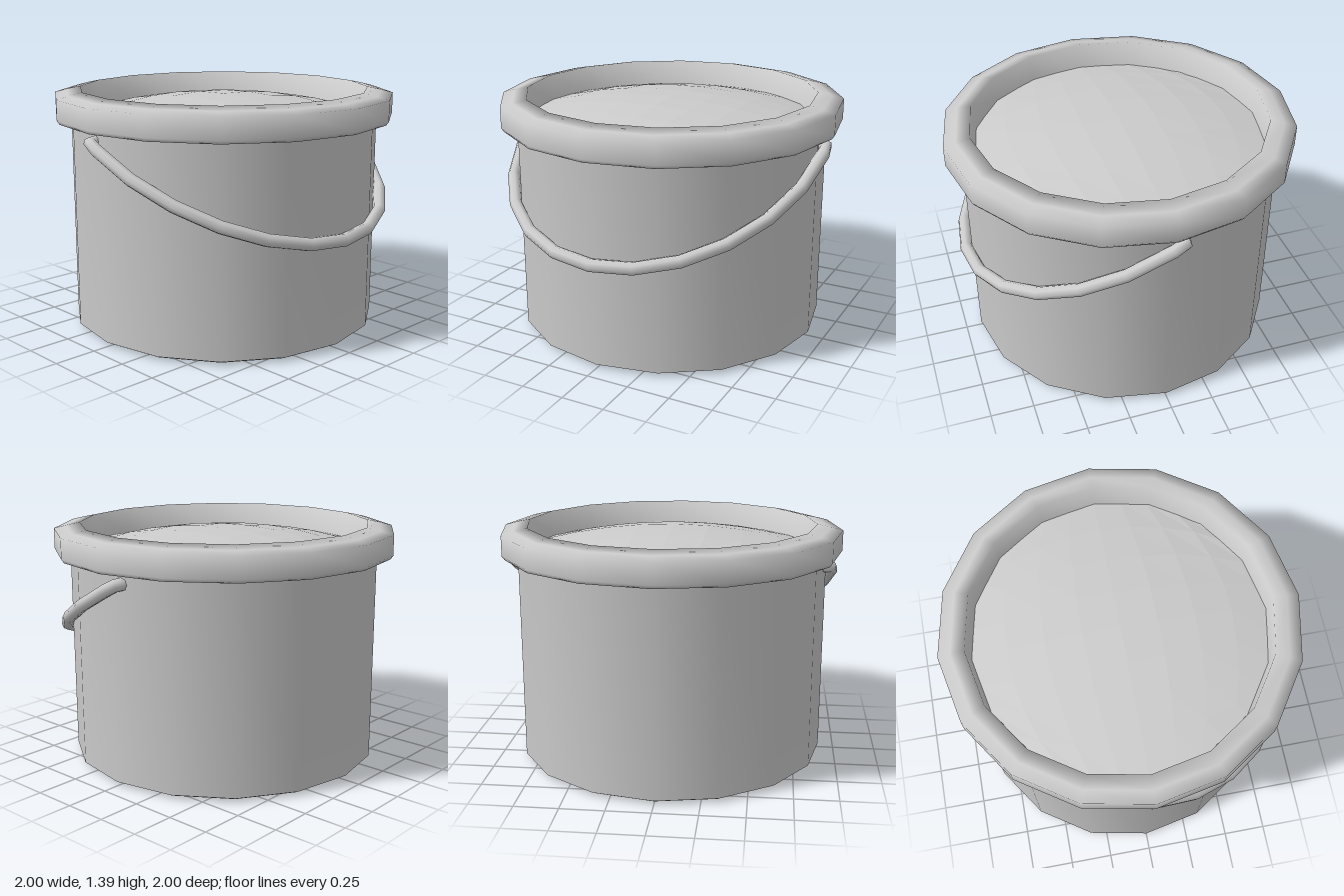
import * as THREE from 'three';

const SIDES = 16;
const smooth = () => new THREE.MeshStandardMaterial({ color: 0xcccccc, side: THREE.DoubleSide });

function addMesh(group, name, geometry, material = smooth()) {
  const mesh = new THREE.Mesh(geometry, material);
  mesh.name = name;
  group.add(mesh);
  return mesh;
}

const lathe = (profile) =>
  new THREE.LatheGeometry(profile.map(([r, y]) => new THREE.Vector2(r, y)), SIDES);

// Square grid rounded into a faceted dome
function contentsGeometry(radius, level, height) {
  const geo = new THREE.PlaneGeometry(2, 2, 8, 8).rotateX(-Math.PI / 2);
  const p = geo.attributes.position;
  for (let i = 0; i < p.count; i++) {
    const u = p.getX(i), v = p.getZ(i);
    const x = u * Math.sqrt(1 - v * v / 2);
    const z = v * Math.sqrt(1 - u * u / 2);
    p.setXYZ(i, radius * x, level + height * (1 - x * x - z * z), radius * z);
  }
  return geo;
}

// Wire bail lying on a tilted plane around the front, hooked into the wall at both ends
function handleGeometry() {
  const R = 0.94, points = [];
  for (let deg = -90; deg <= 90; deg += 15) {
    const a = THREE.MathUtils.degToRad(deg);
    const z = R * Math.cos(a);
    points.push(new THREE.Vector3(R * Math.sin(a), 1.122 - 0.519 * z, z));
  }
  const hook = (s) => [
    new THREE.Vector3(s * 0.935, 1.152, -0.06),
    new THREE.Vector3(s * 0.87, 1.155, -0.066),
  ];
  const path = new THREE.CatmullRomCurve3([...hook(-1).reverse(), ...points, ...hook(1)]);
  // One tube ring per path point
  path.getPointAt = path.getPoint;
  path.getTangentAt = path.getTangent;
  return new THREE.TubeGeometry(path, path.points.length - 1, 0.037, 8);
}

export function createModel() {
  const model = new THREE.Group();
  model.name = 'bucket';

  // Floor, wall, collar and inward-sloping inner wall in one softly shaded shell
  addMesh(model, 'body', lathe([
    [0, 0], [0.7, 0.001], [0.88, 0.01], [0.908, 0.025],
    [0.908, 1.232], [0.985, 1.214], [1, 1.235], [1, 1.353],
    [0.93, 1.371], [0.85, 1.388], [0.83, 1.235], [0.79, 1.22],
  ]));

  addMesh(model, 'contents', contentsGeometry(0.84, 1.235, 0.11),
    new THREE.MeshStandardMaterial({ color: 0xcccccc, flatShading: true, side: THREE.DoubleSide }));

  addMesh(model, 'handle', handleGeometry());
  return model;
}
